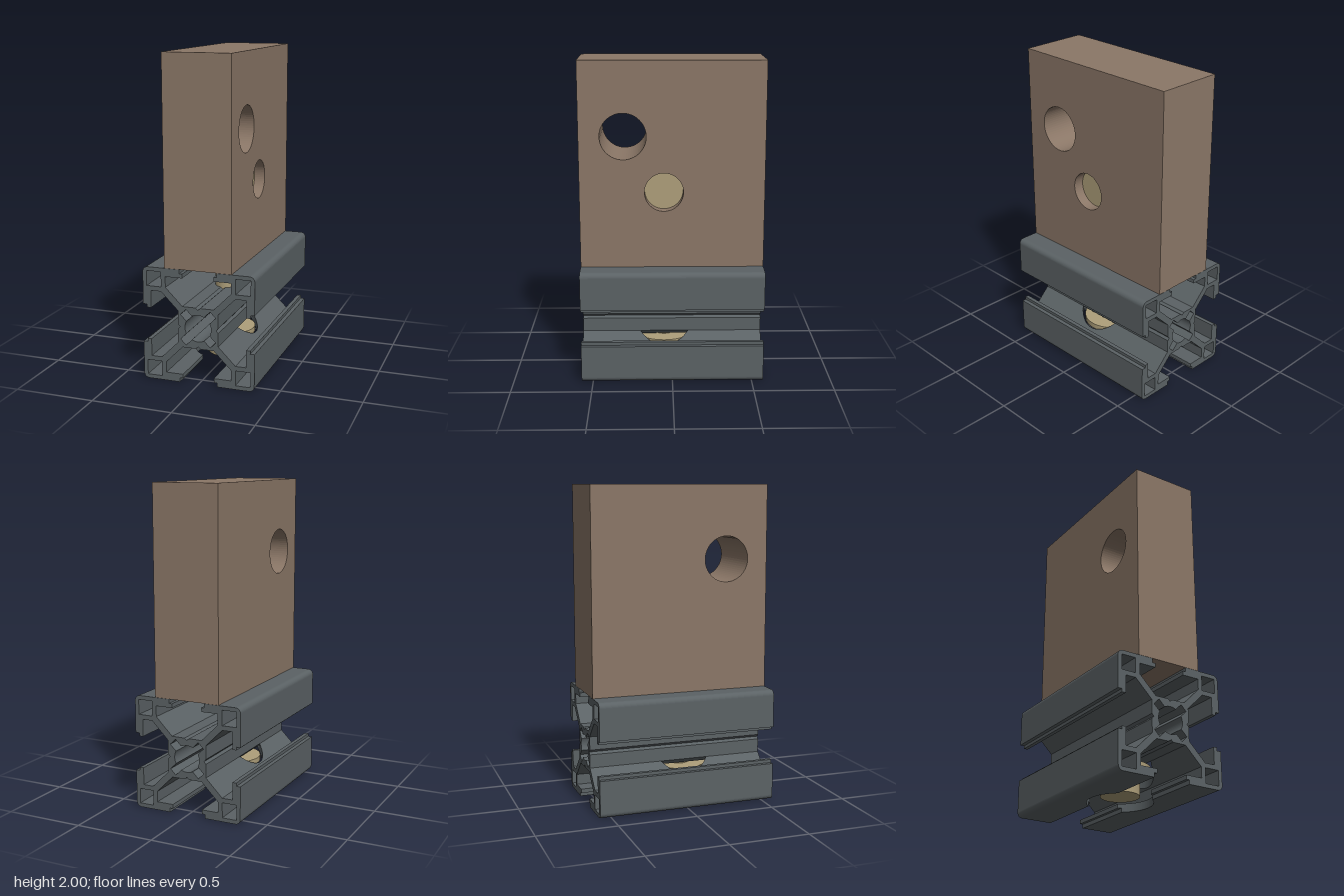
import * as THREE from 'three';

const LENGTH = 1.143;          // depth of rail and block along z
const H = 0.357;               // half width of the square rail
const BOLT_Z = 0.05, BORE = 0.2;

const wood = new THREE.MeshStandardMaterial({ color: 0x8b7767 });
wood.name = 'brown block';
const metal = new THREE.MeshStandardMaterial({ color: 0x5b6265 });
metal.name = 'dark grey metal';
const brass = new THREE.MeshStandardMaterial({ color: 0xae9f7a });
brass.name = 'tan steel';

const vec = ([x, y]) => new THREE.Vector2(x, y);

function add(parent, name, geometry, material, x = 0, y = 0, z = 0) {
  const mesh = new THREE.Mesh(geometry, material);
  mesh.name = name;
  mesh.position.set(x, y, z);
  parent.add(mesh);
  return mesh;
}

function extrude(shape, depth, steps = 1) {
  const g = new THREE.ExtrudeGeometry(shape, { depth, steps, bevelEnabled: false, curveSegments: 32 });
  return g.translate(0, 0, -depth / 2);
}

function circlePath(x, y, r) {
  return new THREE.Path().absarc(x, y, r, 0, Math.PI * 2, true);
}

// Pushes the lower rail parts outward so that a round bore for the bolt head passes
function cutBore(geometry, slope) {
  const p = geometry.attributes.position;
  for (let i = 0; i < p.count; i++) {
    const dz = p.getZ(i) - BOLT_Z, x = p.getX(i);
    const w = Math.sqrt(Math.max(0, BORE * BORE - dz * dz));
    const d = Math.max(0, w - Math.abs(x));
    p.setX(i, x + Math.sign(x) * d);
    p.setY(i, p.getY(i) - d * slope);
  }
  geometry.computeVertexNormals();
  return geometry;
}

// Rail core: chamfered square with notched walls, round bore and diagonal grooves
function coreShape() {
  const outer = [], cavity = [];
  const side = [[0.1, -0.129], [0.129, -0.1], [0.129, -0.015], [0.116, 0], [0.129, 0.015]];
  const r = 0.084, half = 0.025, reach = 0.135;
  const a = Math.asin(half / r);
  for (let q = 0; q < 4; q++) {
    const turn = q * Math.PI / 2;
    for (const pt of side) outer.push(vec(pt).rotateAround(new THREE.Vector2(), turn));
    const start = -Math.PI / 4 + a, end = Math.PI / 4 - a;
    for (let i = 0; i <= 10; i++) {
      const t = turn + start + (end - start) * i / 10;
      cavity.push(new THREE.Vector2(r * Math.cos(t), r * Math.sin(t)));
    }
    for (const s of [-half, half]) {
      cavity.push(new THREE.Vector2(reach, s).rotateAround(new THREE.Vector2(), turn + Math.PI / 4));
    }
  }
  const shape = new THREE.Shape(outer);
  shape.holes.push(new THREE.Path(cavity));
  return shape;
}

// Hollow square corner with a rounded outer edge, mirrored by sx and sy
function cornerShape(sx, sy) {
  const pts = [[0.209, 0.209], [H, 0.209]];
  const r = 0.032;
  for (let i = 0; i <= 8; i++) {
    const t = i / 8 * Math.PI / 2;
    pts.push([H - r + r * Math.cos(t), H - r + r * Math.sin(t)]);
  }
  pts.push([0.209, H]);
  const flip = ([x, y]) => vec([x * sx, y * sy]);
  const shape = new THREE.Shape(pts.map(flip));
  shape.holes.push(new THREE.Path([[0.238, 0.238], [0.238, 0.332], [0.332, 0.332], [0.332, 0.238]].map(flip)));
  return shape;
}

function createRail() {
  const rail = new THREE.Group();
  rail.name = 'slottedRail';
  rail.position.y = H;
  add(rail, 'railCore', extrude(coreShape(), LENGTH), metal);

  const arm = [[0.1, 0.129], [0.129, 0.1], [0.238, 0.209], [0.209, 0.238]];
  const lip = [[0.209, H], [0.12, H], [0.12, 0.331], [0.1, 0.331], [0.1, 0.305], [0.209, 0.305]];
  for (const sx of [-1, 1]) for (const sy of [-1, 1]) {
    const shape = (pts) => new THREE.Shape(pts.map(([x, y]) => vec([x * sx, y * sy])));
    const steps = sy < 0 ? 90 : 1;
    const armGeo = extrude(shape(arm), LENGTH, steps);
    const lipGeo = extrude(shape(lip), LENGTH, steps);
    if (sy < 0) {
      cutBore(armGeo, 1);
      cutBore(lipGeo, 0);
    }
    add(rail, 'railCorner', extrude(cornerShape(sx, sy), LENGTH), metal);
    add(rail, 'railArm', armGeo, metal);
    add(rail, 'railSlotLip', lipGeo, metal);
    add(rail, 'railSideLip', extrude(shape(lip.map(([x, y]) => [y, x])), LENGTH), metal);
  }
  return rail;
}

// Upright block, built in two layers: the shallow pocket opens only on the left (+x) face
function createBlock() {
  const block = new THREE.Group();
  block.name = 'uprightBlock';
  const layer = (name, x0, x1, holes) => {
    const w = LENGTH / 2;
    const shape = new THREE.Shape([[-w, 0.715], [w, 0.715], [w, 2], [-w, 2]].map(vec));
    for (const [z, y, r] of holes) shape.holes.push(circlePath(-z, y, r));
    const g = extrude(shape, x1 - x0).rotateY(Math.PI / 2);
    add(block, name, g, wood, (x0 + x1) / 2);
  };
  const through = [0.3, 1.54, 0.143], pocket = [BOLT_Z, 1.193, 0.12];
  layer('blockBody', -0.214, 0.144, [through]);
  layer('blockPocketLayer', 0.144, 0.214, [through, pocket]);
  return block;
}

// Bolt clamping the block to the rail, ending in a cross nut in the pocket
function createFastener() {
  const bolt = new THREE.Group();
  bolt.name = 'fastener';
  const cylinder = (name, r, y0, y1) =>
    add(bolt, name, new THREE.CylinderGeometry(r, r, y1 - y0, 48), brass, 0, (y0 + y1) / 2, BOLT_Z);
  cylinder('boltHead', 0.119, 0.037, 0.18);
  cylinder('washer', 0.185, 0.178, 0.213);
  cylinder('boltShaft', 0.073, 0.2, 1.193);
  const nut = new THREE.CylinderGeometry(0.12, 0.12, 0.3, 48).rotateZ(Math.PI / 2);
  add(bolt, 'crossNut', nut, brass, -0.004, 1.193, BOLT_Z);
  return bolt;
}

export function createModel() {
  const model = new THREE.Group();
  model.name = 'blockOnRail';
  model.add(createRail(), createBlock(), createFastener());
  return model;
}
